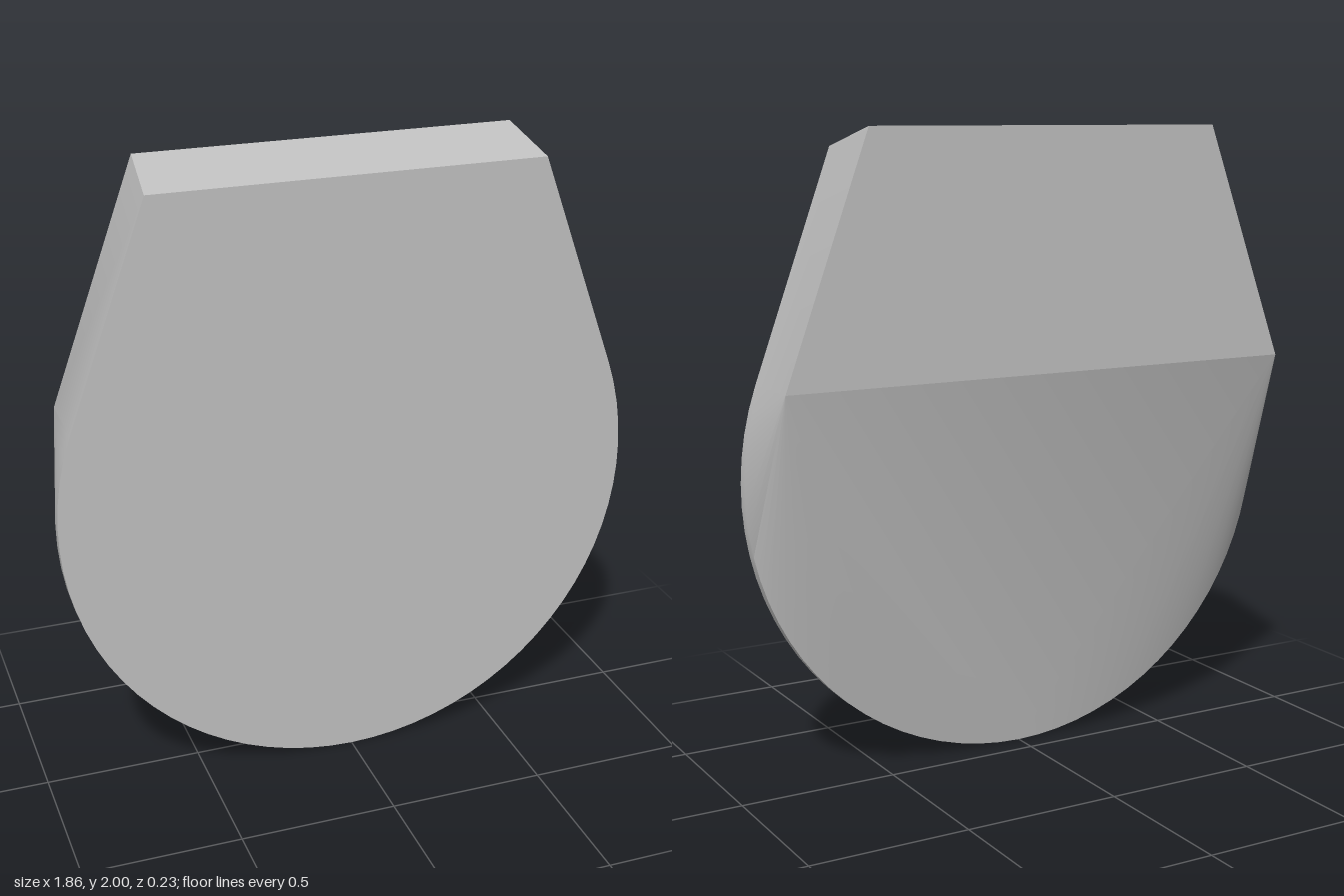
import * as THREE from 'three';
import { toCreasedNormals } from 'three/addons/utils/BufferGeometryUtils.js';

const FRONT = 0.115, RIM = 0.08, BACK = -0.115;
const RADIUS = 0.93, SEGMENTS = 48;

export function createModel() {
  const group = new THREE.Group();
  group.name = 'roundedWedgePlate';
  const grey = new THREE.MeshStandardMaterial({ color: 0xc0c0c0 });
  grey.name = 'plain grey';

  const add = (name, triangles, crease = 0.6) => {
    let geometry = new THREE.BufferGeometry().setFromPoints(triangles.flat());
    geometry.computeVertexNormals();
    if (crease) geometry = toCreasedNormals(geometry, crease);
    const mesh = new THREE.Mesh(geometry, grey);
    mesh.name = name;
    group.add(mesh);
  };
  const quad = (a, b, c, d) => [[a, b, c], [a, c, d]];
  const v = (x, y, z) => new THREE.Vector3(x, y, z);

  // Round lower outline, running from the left tangent point under to the right
  const start = Math.atan2(0.316, 0.875);
  const arc = (z) => Array.from({ length: SEGMENTS + 1 }, (_, i) => {
    const angle = start - (i / SEGMENTS) * (Math.PI + 2 * start);
    return v(RADIUS * Math.cos(angle), RADIUS + RADIUS * Math.sin(angle), z);
  });
  const front = arc(FRONT), rim = arc(RIM);
  const [shoulderL, shoulderR] = [front[0], front[SEGMENTS]].map((p) => v(p.x, p.y, BACK));
  const frontTopL = v(0.622, 1.94, FRONT), frontTopR = v(-0.622, 1.94, FRONT);
  const backTopL = v(0.6, 2, BACK), backTopR = v(-0.6, 2, BACK);

  // Flat front, fanned from its middle
  const outline = [frontTopR, frontTopL, ...front];
  const centre = v(0, RADIUS, FRONT);
  add('frontFace', outline.map((p, i) => [centre, outline[(i + 1) % outline.length], p]), 0);

  // Sloping top and flat upper back
  add('topFace', quad(frontTopL, backTopL, backTopR, frontTopR), 0);
  add('upperBack', quad(shoulderL, shoulderR, backTopR, backTopL), 0);

  // Straight sides, thin rim and cone-like bevels that meet at the shoulders
  const shell = [
    ...quad(frontTopL, front[0], shoulderL, backTopL),
    ...quad(frontTopR, backTopR, shoulderR, front[SEGMENTS]),
  ];
  const half = SEGMENTS / 2;
  for (let i = 0; i < SEGMENTS; i++) {
    shell.push(...quad(front[i], front[i + 1], rim[i + 1], rim[i]));
    shell.push([rim[i], rim[i + 1], i < half ? shoulderL : shoulderR]);
  }
  // Flat slope between the two bevels
  shell.push([rim[half], shoulderR, shoulderL]);
  add('sidesAndLowerBack', shell);

  return group;
}
